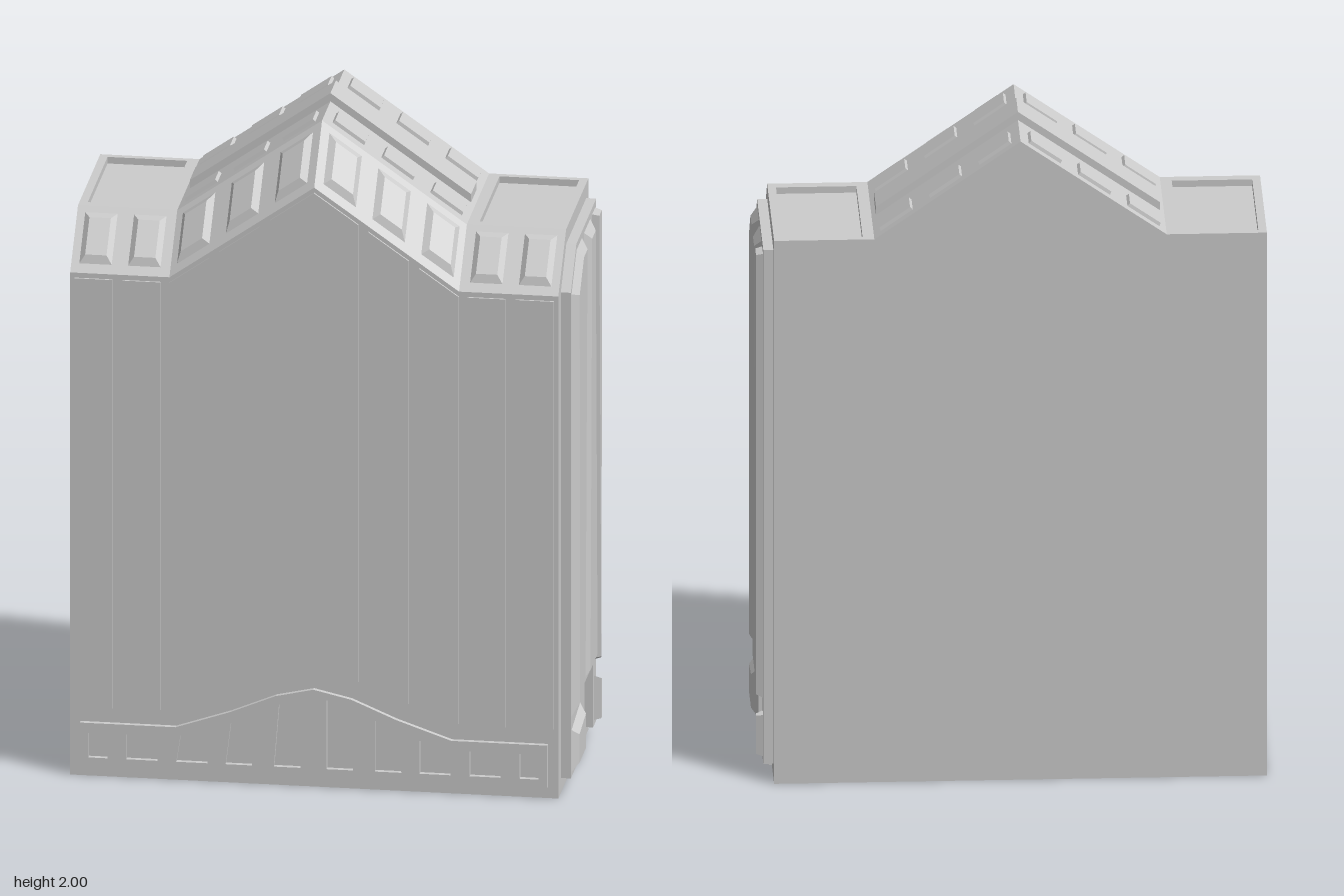
import * as THREE from 'three';

const HALF = 0.708, BACK = -0.305, BEVEL = 0.135, FRONT = 0.29, DROP = 0.15;
const SLOPE = 0.295 / 0.42;
const roof = (x) => 1.68 + Math.max(0, 0.42 - Math.abs(x)) * SLOPE;

// height of a symmetric curve given as [distance from centre, height] pairs
const along = (table) => (x) => {
  const d = Math.abs(x);
  for (let i = 1; i < table.length; i++) {
    const [a, ya] = table[i - 1], [b, yb] = table[i];
    if (d <= b) return ya + (yb - ya) * (d - a) / (b - a);
  }
  return table[table.length - 1][1];
};
const baseTop = along([[0, 0.3], [0.11, 0.275], [0.24, 0.22], [0.4, 0.165], [1, 0.165]]);
const columnFoot = along([[0, 0.345], [0.13, 0.325], [0.28, 0.265], [0.43, 0.21], [1, 0.21]]);

const material = new THREE.MeshStandardMaterial({ color: 0xcccccc, flatShading: true });

function add(group, name, geometry) {
  const mesh = new THREE.Mesh(geometry, material);
  mesh.name = name;
  group.add(mesh);
  return mesh;
}

function shapeOf(points, holes = []) {
  const shape = new THREE.Shape(points.map(([x, y]) => new THREE.Vector2(x, y)));
  holes.forEach((h) => shape.holes.push(new THREE.Path(h.map(([x, y]) => new THREE.Vector2(x, y)))));
  return shape;
}

function slab(points, z0, z1, holes) {
  return new THREE.ExtrudeGeometry(shapeOf(points, holes), { depth: z1 - z0, bevelEnabled: false }).translate(0, 0, z0);
}

function block(x0, x1, y0, y1, z0, z1) {
  return new THREE.BoxGeometry(x1 - x0, y1 - y0, z1 - z0).translate((x0 + x1) / 2, (y0 + y1) / 2, (z0 + z1) / 2);
}

// anticlockwise polygon moved inwards by d
function inset(points, d) {
  const n = points.length;
  const lines = points.map(([x, y], i) => {
    const [u, v] = points[(i + 1) % n], len = Math.hypot(u - x, v - y);
    const a = -(v - y) / len, b = (u - x) / len;
    return [a, b, a * x + b * y + d];
  });
  return lines.map(([a, b, c], i) => {
    const [p, q, r] = lines[(i + n - 1) % n], det = a * q - b * p;
    return [(c * q - b * r) / det, (a * r - c * p) / det];
  });
}

// raised panel with sloping edges, laid on a surface by map(a, b, height)
function raisedPanel(points, edge, height, map) {
  const low = points.map(([a, b]) => map(a, b, 0));
  const high = inset(points, edge).map(([a, b]) => map(a, b, height));
  const pos = [], n = points.length;
  const tri = (...corners) => corners.forEach((p) => pos.push(...p));
  for (let i = 0; i < n; i++) {
    const j = (i + 1) % n;
    tri(low[i], low[j], high[j]);
    tri(low[i], high[j], high[i]);
    if (i > 0 && j > 0) tri(high[0], high[i], high[j]);
  }
  const g = new THREE.BufferGeometry();
  g.setAttribute('position', new THREE.Float32BufferAttribute(pos, 3));
  g.computeVertexNormals();
  return g;
}

// roof surface falling forwards by k per unit of z from the bevel line
const roofMap = (side, k) => (a, b, h) => {
  const n = new THREE.Vector3(side * SLOPE, 1, k).normalize();
  return [a + n.x * h, roof(a) + k * (BEVEL + b) + n.y * h, -b + n.z * h];
};
const sideMap = (a, b, h) => [HALF + 0.029 + h, b, -a];
const rect = (x0, x1, y0, y1) => [[x0, y0], [x1, y0], [x1, y1], [x0, y1]];

export function createModel() {
  const model = new THREE.Group();
  model.name = 'building';

  // main block with sunken shoulder roofs
  const I = 0.453, O = 0.684, FLOOR = 1.66;
  add(model, 'mainBlock', slab([
    [-HALF, 0], [HALF, 0], [HALF, 1.68], [O, 1.68], [O, FLOOR], [I, FLOOR], [I, 1.68], [0.42, 1.68], [0, roof(0)],
    [-0.42, 1.68], [-I, 1.68], [-I, FLOOR], [-O, FLOOR], [-O, 1.68], [-HALF, 1.68],
  ], BACK, BEVEL));
  for (const s of [-1, 1]) {
    const x0 = Math.min(s * I, s * O), x1 = Math.max(s * I, s * O);
    add(model, 'backParapet', block(x0, x1, FLOOR, 1.68, BACK, -0.285));
    add(model, 'frontParapet', block(x0, x1, FLOOR, 1.68, 0.105, BEVEL));
  }

  // front part, its roof edge pulled down into a bevel
  const front = slab([
    [-HALF, 0], [HALF, 0], [HALF, 1.68], [0.42, 1.68], [0, roof(0)], [-0.42, 1.68], [-HALF, 1.68],
  ], BEVEL, FRONT);
  const p = front.attributes.position;
  for (let i = 0; i < p.count; i++) {
    if (p.getZ(i) > BEVEL + 0.01 && p.getY(i) > 1) p.setY(i, p.getY(i) - DROP);
  }
  front.computeVertexNormals();
  add(model, 'frontBlock', front);

  // tall facade columns
  const columns = [[-0.128, 0.128]];
  for (const [a, b] of [[0.158, 0.275], [0.305, 0.42], [0.445, 0.555], [0.585, 0.695]]) columns.push([a, b], [-b, -a]);
  for (const [a, b] of columns) {
    const xs = a < 0 && b > 0 ? [a, 0, b] : [a, b];
    const outline = xs.map((x) => [x, columnFoot(x)])
      .concat([...xs].reverse().map((x) => [x, roof(x) - DROP - 0.015]));
    add(model, 'facadeColumn', slab(outline, FRONT, FRONT + 0.006));
  }

  // arched base panel with ten window openings
  const edge = [0.678, 0.4, 0.24, 0.11, 0, -0.11, -0.24, -0.4, -0.678];
  const openings = [];
  for (const s of [-1, 1]) {
    // inner x, outer x at the foot, inner and outer top heights, lean of the outer side
    for (const [a, b, ya, yb, lean] of [
      [0.038, 0.115, 0.27, 0.25, 0.015], [0.178, 0.255, 0.215, 0.185, 0.015], [0.308, 0.398, 0.16, 0.14, 0.012],
      [0.453, 0.543, 0.135, 0.135, 0], [0.598, 0.653, 0.135, 0.135, 0],
    ]) openings.push([[s * a, 0.06], [s * b, 0.06], [s * (b - lean), yb], [s * a, ya]]);
  }
  add(model, 'basePanel', slab([[-0.678, 0.035], [0.678, 0.035], ...edge.map((x) => [x, baseTop(x)])],
    FRONT, 0.305, openings));

  // bevel windows and roof windows
  for (let i = 0; i < 10; i++) {
    const x = (i - 4.5) * 0.1417;
    const side = Math.abs(x) > 0.42 ? 0 : Math.sign(x);
    add(model, 'bevelWindow', raisedPanel(rect(x - 0.047, x + 0.047, -0.268, -0.15), 0.016, 0.014,
      roofMap(side, -DROP / (BEVEL - FRONT) * 1)).translate(0, 0, 0));
    if (!side) continue;
    for (const z of [-0.237, 0.06]) {
      add(model, 'roofWindow', raisedPanel(rect(x - 0.046, x + 0.046, -z - 0.039, -z + 0.039), 0.002, 0.01,
        roofMap(side, 0)));
    }
  }

  // raised strip across the gable
  const S = 0.408;
  add(model, 'roofStrip', slab([
    [-S, roof(S) - 0.01], [0, roof(0) - 0.01], [S, roof(S) - 0.01],
    [S, roof(S) + 0.025], [0, roof(0) + 0.025], [-S, roof(S) + 0.025],
  ], -0.14, -0.03));

  // side plate with a notch around the door
  add(model, 'sidePlate', slab([
    [-0.24, 0.045], [-0.04, 0.045], [-0.04, 0.24], [0.2, 0.24], [0.2, 0.045], [0.262, 0.045],
    [0.262, 1.635], [-0.13, 1.635], [-0.24, 1.525],
  ], HALF, HALF + 0.029).rotateY(Math.PI / 2));
  add(model, 'sideDoor', block(HALF, HALF + 0.01, 0, 0.195, -0.16, 0));

  // raised side panels
  for (const [name, points, bevel] of [
    ['sideFrontPanel', [[-0.222, 0.228], [-0.06, 0.28], [-0.02, 1.615], [-0.125, 1.615], [-0.225, 1.515]], 0.025],
    ['sideMiddlePanel', [[-0.012, 0.262], [0.178, 0.262], [0.142, 1.615], [0.022, 1.615]], 0.025],
    ['sideBackPanel', [[0.222, 0.25], [0.238, 0.24], [0.242, 1.615], [0.182, 1.615]], 0.005],
    ['sideFrontWindow', [[-0.225, 0.06], [-0.058, 0.06], [-0.055, 0.212], [-0.225, 0.187]], 0.022],
    ['sideBackWindow', [[0.222, 0.06], [0.24, 0.06], [0.24, 0.187], [0.222, 0.195]], 0.005],
  ]) add(model, name, raisedPanel(points, bevel, 0.02, sideMap));

  // centre the whole, side panels included
  model.children.forEach((m) => m.geometry.translate(-0.027, 0, 0));
  return model;
}
